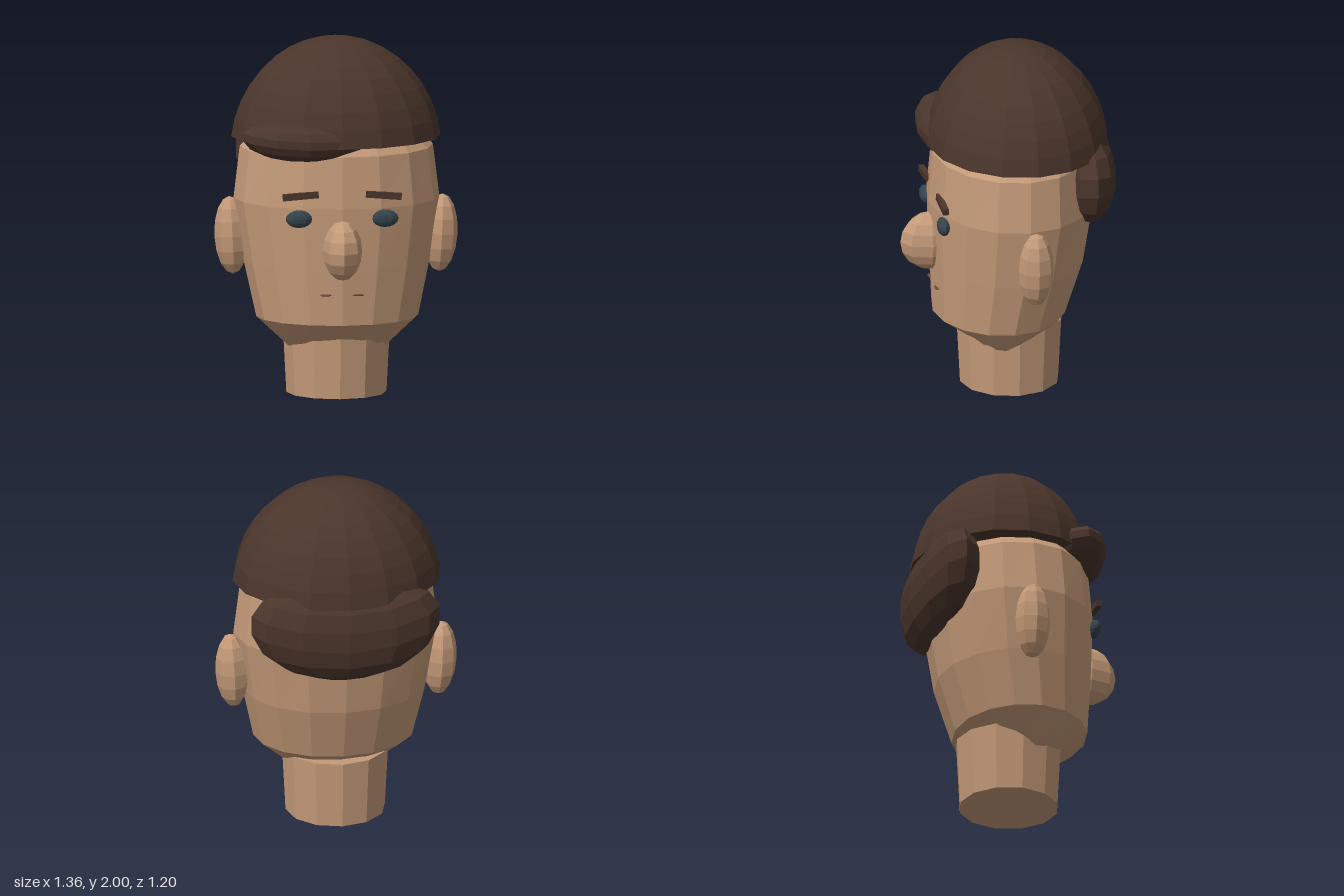
import * as THREE from 'three';

const paint = (color) => new THREE.MeshStandardMaterial({ color, flatShading: true });

export function createModel() {
  const model = new THREE.Group();
  const skin = paint(0xc49a78), hair = paint(0x4a352b), eyeColor = paint(0x34444c), mouthColor = paint(0x6b4838);

  function add(name, geometry, material, x = 0, y = 0, z = 0) {
    const mesh = new THREE.Mesh(geometry, material);
    mesh.name = name;
    mesh.position.set(x, y, z);
    model.add(mesh);
    return mesh;
  }
  const ball = (rx, ry, rz, sides, rings) => new THREE.SphereGeometry(1, sides, rings).scale(rx, ry, rz);
  const lathe = (points, sides) => new THREE.LatheGeometry(points.map(([r, y]) => new THREE.Vector2(r, y)), sides);

  // Head: elliptical rings from top to chin, [y, half width, front z, back z]
  const rings = [
    [1.55, 0, -0.05, -0.05],
    [1.5, 0.44, 0.33, -0.42],
    [1.39, 0.54, 0.41, -0.48],
    [1.1, 0.575, 0.435, -0.49],
    [0.75, 0.52, 0.425, -0.435],
    [0.44, 0.453, 0.41, -0.335],
    [0.275, 0.275, 0.18, -0.08],
    [0.25, 0, 0.05, 0.05],
  ];
  const sides = 16;
  const headGeometry = new THREE.CylinderGeometry(1, 1, 1, sides, rings.length - 1, true);
  const p = headGeometry.attributes.position;
  for (let i = 0; i < p.count; i++) {
    const [y, rx, front, back] = rings[Math.floor(i / (sides + 1))];
    p.setXYZ(i, p.getX(i) * rx, y, (front + back) / 2 + p.getZ(i) * (front - back) / 2);
  }
  add('head', headGeometry, skin);

  add('neck', new THREE.CylinderGeometry(0.3, 0.28, 0.385, 12), skin, 0, 0.1925, -0.025);
  add('nose', ball(0.11, 0.168, 0.165, 8, 8), skin, 0, 0.868, 0.43);

  // Paired features
  for (const s of [-1, 1]) {
    const side = s > 0 ? 'left' : 'right';
    const ear = add(side + 'Ear', ball(0.095, 0.22, 0.1, 8, 8), skin, s * 0.585, 0.885, -0.055);
    ear.rotation.z = -s * 0.05;
    add(side + 'Eye', ball(0.075, 0.05, 0.034, 12, 8), eyeColor, s * 0.24, 1.045, 0.401);
    const brow = add(side + 'Eyebrow', new THREE.BoxGeometry(0.2, 0.036, 0.032), hair, s * 0.232, 1.175, 0.405);
    brow.rotation.z = -s * 0.08;
    add(side + 'MouthCorner', ball(0.036, 0.006, 0.014, 8, 4), mouthColor, s * 0.09, 0.613, 0.406);
  }

  // Hair cap: closed dome
  const dome = [[0, 1.44]];
  for (let i = 0; i <= 9; i++) {
    const a = THREE.MathUtils.lerp(0.125, Math.PI / 2, i / 9);
    dome.push([0.59 * Math.cos(a), 1.36 + 0.64 * Math.sin(a)]);
  }
  add('hairCap', lathe(dome, 16).scale(1, 1, 0.872), hair, 0, 0, -0.07);

  // Hair locks: plump oval cushions whose ends curl upward
  const cushion = [[0, -1], [0.35, -0.96], [0.65, -0.83], [0.88, -0.58], [1, -0.2],
    [1, 0.2], [0.88, 0.58], [0.65, 0.83], [0.35, 0.96], [0, 1]];
  function lock(name, rx, ry, rz, lift, x, y, z) {
    const geometry = lathe(cushion, 12).scale(rx, ry, rz);
    const q = geometry.attributes.position;
    for (let i = 0; i < q.count; i++) q.setY(i, q.getY(i) + lift * (q.getX(i) / rx) ** 2);
    return add(name, geometry, hair, x, y, z);
  }
  lock('backHair', 0.53, 0.28, 0.18, 0.07, 0, 1.245, -0.42);
  lock('fringe', 0.355, 0.112, 0.172, 0.02, -0.19, 1.462, 0.285).rotation.z = -0.03;

  return model;
}
